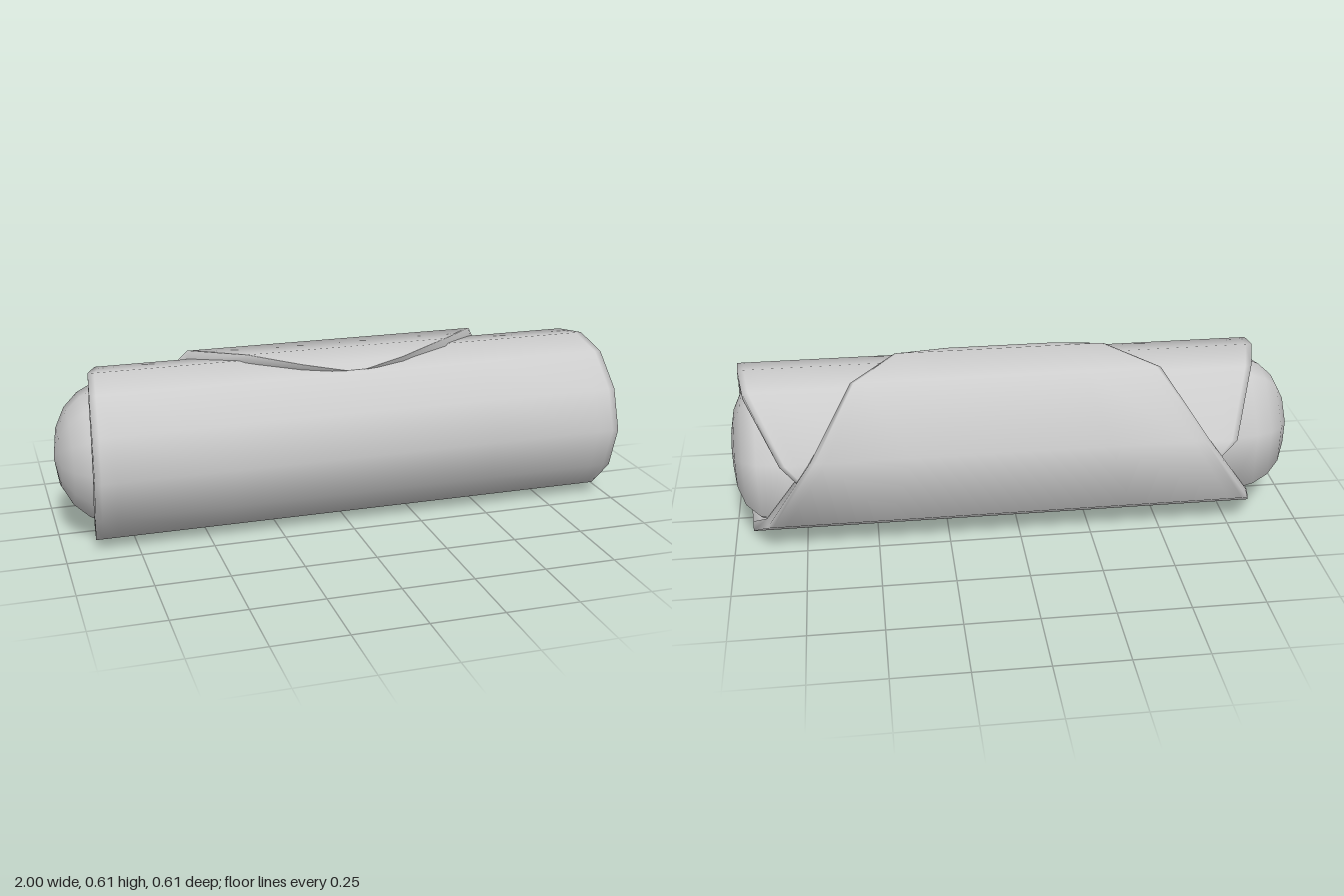
import * as THREE from 'three';

// Spiral section of the wrap, from the outer flap tip inwards: [z, y, left end x, right end x]
const SPIRAL = [
  [0.155, 0.553, 0.0, 0.07],
  [0.125, 0.578, -0.15, 0.22],
  [0.04, 0.605, -0.33, 0.41],
  [-0.14, 0.585, -0.5, 0.57],
  [-0.302, 0.37, -0.65, 0.72],
  [-0.272, 0.115, -0.81, 0.88],
  [-0.12, 0.015, -0.86, 0.94],
  [0.02, 0, -0.87, 0.95],
  [0.16, 0.033, -0.89, 0.965],
  [0.262, 0.14, -0.9, 0.975],
  [0.305, 0.287, -0.9, 0.98],
  [0.265, 0.432, -0.895, 0.975],
  [0.16, 0.545, -0.885, 0.965],
  [0.02, 0.58, -0.87, 0.955],
  [-0.12, 0.56, -0.83, 0.935],
  [-0.287, 0.357, -0.75, 0.82],
  [-0.275, 0.25, -0.67, 0.74],
];
const THICKNESS = 0.034;

// Point moved inwards from the spiral, square to its run, mitred at the corner
function inset(i, depth) {
  const at = k => new THREE.Vector2(SPIRAL[k][0], SPIRAL[k][1]);
  const normal = (a, b) => { const d = at(b).sub(at(a)).normalize(); return new THREE.Vector2(-d.y, d.x); };
  const last = SPIRAL.length - 1;
  const n1 = normal(Math.max(i - 1, 0), Math.max(i, 1));
  const n2 = normal(Math.min(i, last - 1), Math.min(i + 1, last));
  const mid = n1.clone().add(n2).normalize();
  return at(i).addScaledVector(mid, depth / Math.max(mid.dot(n1), 0.6));
}

// Smooth skin over closed rings of equal point count
function loft(rings) {
  const n = rings[0].length, index = [];
  for (let i = 0; i < rings.length - 1; i++) {
    for (let k = 0; k < n; k++) {
      const a = i * n + k, b = i * n + (k + 1) % n;
      index.push(a, b, a + n, b, b + n, a + n);
    }
  }
  const geometry = new THREE.BufferGeometry();
  geometry.setAttribute('position', new THREE.Float32BufferAttribute(rings.flat(2), 3));
  geometry.setIndex(index);
  geometry.computeVertexNormals();
  return geometry;
}

export function createModel() {
  const group = new THREE.Group();
  group.name = 'rolledWrap';
  const material = new THREE.MeshStandardMaterial({ color: 0xcccccc, side: THREE.DoubleSide });

  // Wrap: outer skin across, inner skin back, with soft rims at both ends
  const across = [0, 0.012, 0.04, 0.25, 0.5, 0.75, 0.96, 0.988, 1];
  const wrapRings = SPIRAL.map(([z, y, left, right], i) => {
    const closed = i === 0 || i === SPIRAL.length - 1;
    const inner = inset(i, closed ? 0.002 : THICKNESS);
    const outerRow = across.map(t => [left + (right - left) * t, y, z]);
    const innerRow = across.map(t => [left + (right - left) * t, inner.y, inner.x]).reverse();
    return [...outerRow, ...innerRow];
  });
  const wrap = new THREE.Mesh(loft(wrapRings), material);
  wrap.name = 'wrap';
  group.add(wrap);

  // Filling: the inside of the roll, domed at both ends: [x, scale]
  const section = [];
  for (let i = 5; i <= 15; i++) section.push(inset(i, THICKNESS - 0.002));
  const centre = new THREE.Vector2(0.015, 0.29);
  const profile = [
    [-1, 0], [-0.985, 0.38], [-0.95, 0.64], [-0.9, 0.82], [-0.84, 0.93], [-0.76, 1],
    [0, 1], [0.8, 1], [0.9, 0.96], [0.95, 0.8], [0.98, 0.55], [0.993, 0.28], [1, 0],
  ];
  const fillingRings = profile.map(([x, s]) => section.map(p => [
    x, centre.y + (p.y - centre.y) * s, centre.x + (p.x - centre.x) * s,
  ]).reverse());
  const filling = new THREE.Mesh(loft(fillingRings), material);
  filling.name = 'filling';
  group.add(filling);

  return group;
}
